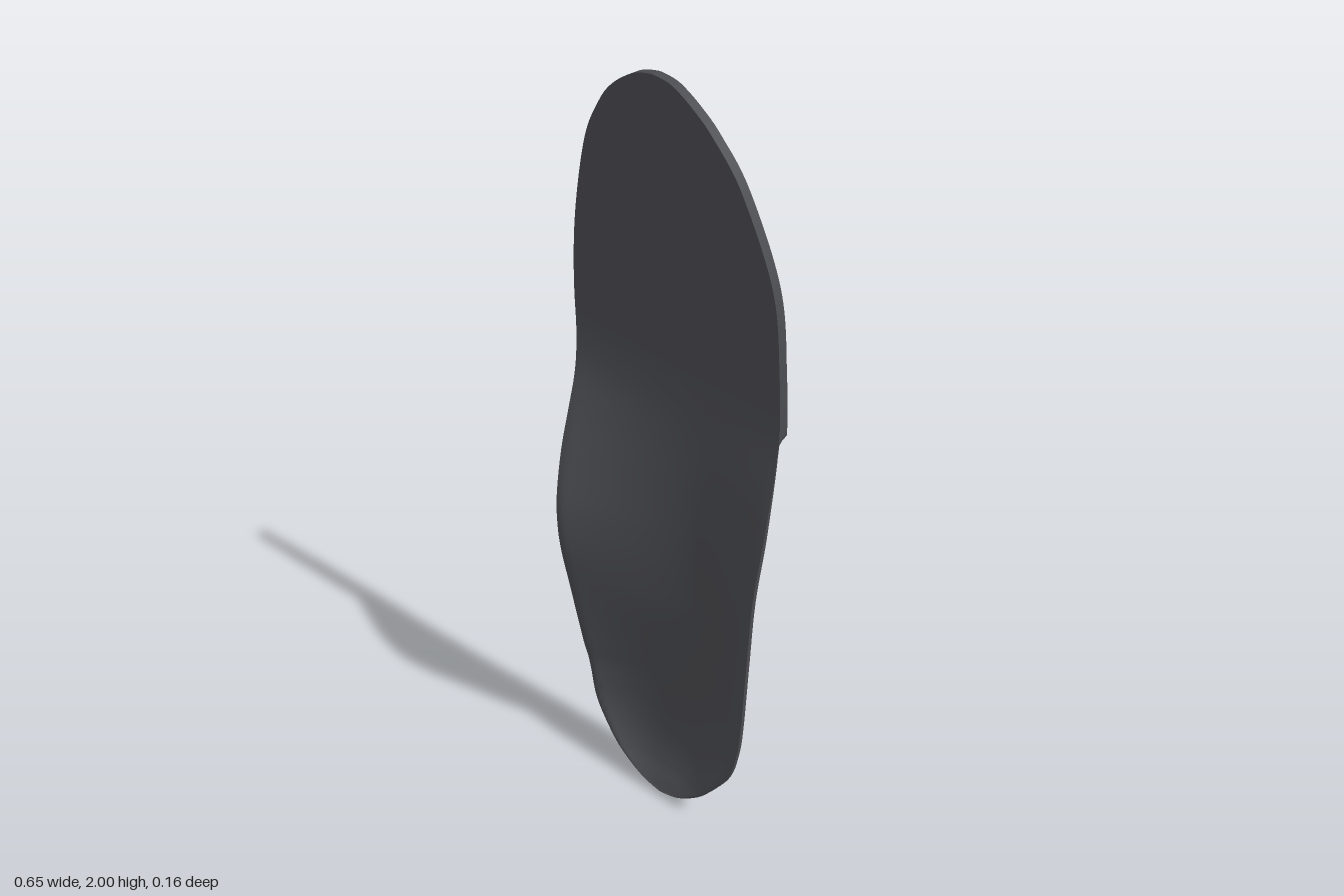
import * as THREE from 'three';
import { toCreasedNormals } from 'three/addons/utils/BufferGeometryUtils.js';

// Smooth value-over-height lookup from a few [y, value] pairs
function profile(pairs) {
  const pts = new THREE.SplineCurve(pairs.map(([y, v]) => new THREE.Vector2(v, y))).getPoints(600);
  return (y) => {
    if (y <= pts[0].y) return pts[0].x;
    for (let i = 1; i < pts.length; i++) {
      const a = pts[i - 1], b = pts[i];
      if (y <= b.y) return a.x + (b.x - a.x) * (y - a.y) / Math.max(b.y - a.y, 1e-9);
    }
    return pts[pts.length - 1].x;
  };
}

// Outline of the foot side: arch edge (-x) and outer edge (+x)
const archEdge = profile([[0, 0.015], [0.015, -0.045], [0.05, -0.105], [0.1, -0.158], [0.2, -0.218], [0.3, -0.238],
  [0.4, -0.25], [0.6, -0.265], [0.8, -0.28], [1, -0.3], [1.2, -0.315], [1.4, -0.328], [1.6, -0.318], [1.8, -0.28],
  [1.9, -0.232], [1.95, -0.19], [1.985, -0.135], [1.996, -0.1], [2, -0.07]]);
const outerEdge = profile([[0, 0.015], [0.015, 0.075], [0.05, 0.132], [0.1, 0.185], [0.2, 0.256], [0.3, 0.284],
  [0.4, 0.293], [0.6, 0.298], [0.8, 0.305], [1, 0.32], [1.2, 0.323], [1.4, 0.313], [1.6, 0.285], [1.8, 0.19],
  [1.9, 0.108], [1.95, 0.05], [1.985, -0.005], [1.996, -0.04], [2, -0.07]]);

// Narrower outline of the flat underside behind the forefoot
const baseArch = profile([[0, 0.01], [0.015, -0.045], [0.05, -0.095], [0.1, -0.135], [0.2, -0.16], [0.3, -0.165],
  [0.54, -0.145], [0.72, -0.123], [0.87, -0.153], [1.02, -0.23], [1.1, -0.3], [1.14, -0.312]]);
const baseOuter = profile([[0, 0.01], [0.015, 0.055], [0.05, 0.1], [0.1, 0.14], [0.2, 0.18], [0.4, 0.213],
  [0.8, 0.232], [1, 0.252], [1.2, 0.295], [1.23, 0.318]]);

// Heights (z) of the arch rim, outer rim and floor
const archRim = profile([[0, 0.013], [0.3, 0.016], [0.4, 0.03], [0.6, 0.06], [0.72, 0.078], [0.8, 0.081], [0.88, 0.072],
  [1, 0.038], [1.1, 0], [1.2, -0.036], [1.3, -0.052], [1.4, -0.054]]);
const outerRim = profile([[0, 0.013], [0.3, 0.012], [0.6, 0.003], [0.8, -0.003], [1, -0.02], [1.2, -0.048], [1.3, -0.054]]);
const floorZ = profile([[0, 0.013], [0.03, 0], [0.08, -0.021], [0.16, -0.036], [0.3, -0.04], [0.5, -0.037],
  [0.8, -0.03], [1, -0.034], [1.2, -0.048], [1.3, -0.054]]);

const BACK = -0.08, TOP = 32, WALL = 3, FLAT = 8;

// One closed cross-section: foot surface, outer wall, underside, arch wall
function section(y) {
  const xl = archEdge(y), xr = outerEdge(y);
  const bl = y < 1.13 ? Math.max(baseArch(y), xl) : xl;
  const br = y < 1.225 ? Math.min(baseOuter(y), xr) : xr;
  const yb = y + 0.07 * Math.max(0, 1 - y / 0.5);
  const heel = 1 - THREE.MathUtils.smoothstep(y, 0.2, 0.65);
  const low = 0.65 - 0.13 * heel;
  const bevel = 0.01 * (1 - THREE.MathUtils.smoothstep(y, 0.9, 1.25));
  const f = floorZ(y), loop = [];
  for (let j = 0; j <= TOP; j++) {
    const u = 0.5 - 0.5 * Math.cos(Math.PI * j / TOP);
    const m = Math.min(1, Math.max(0, (low - u) / (low - 0.03)));
    const l = Math.min(1, Math.max(0, (u - low) / (0.97 - low)));
    let z = f + (archRim(y) - f) * m ** (1.5 + 1.2 * heel) + (outerRim(y) - f) * l ** (2 + heel);
    if (j === 0 || j === TOP) z -= bevel;
    loop.push([xl + (xr - xl) * u, y, z]);
  }
  const bridge = (a, b, n) => {
    for (let k = 1; k <= n; k++) loop.push(a.map((v, i) => v + (b[i] - v) * k / n));
  };
  const first = loop[0], last = loop[TOP];
  bridge(last, [br, yb, BACK], WALL);
  bridge([br, yb, BACK], [bl, yb, BACK], FLAT);
  bridge([bl, yb, BACK], first, WALL);
  return loop;
}

export function createModel() {
  const rows = 140, pos = [], index = [];
  let n = 0;
  for (let i = 0; i <= rows; i++) {
    const y = 1 - Math.cos(Math.PI * i / rows);
    const loop = section(y);
    n = loop.length;
    pos.push(...loop.flat());
  }
  // Skin the sections, leaving out collapsed triangles at heel and toe tips
  const v = (i) => new THREE.Vector3().fromArray(pos, i * 3);
  const tri = (a, b, c) => {
    const area = v(b).sub(v(a)).cross(v(c).sub(v(a))).length();
    if (area > 1e-10) index.push(a, b, c);
  };
  for (let i = 0; i < rows; i++) {
    for (let j = 0; j < n - 1; j++) {
      const a = i * n + j, d = a + n;
      tri(a, a + 1, d + 1);
      tri(a, d + 1, d);
    }
  }
  const geo = new THREE.BufferGeometry();
  geo.setAttribute('position', new THREE.Float32BufferAttribute(pos, 3));
  geo.setIndex(index);

  const insole = new THREE.Mesh(toCreasedNormals(geo, 0.6), new THREE.MeshStandardMaterial({ color: 0x4a4b50 }));
  insole.name = 'insole';
  const group = new THREE.Group();
  group.name = 'shoeInsole';
  group.add(insole);
  return group;
}
